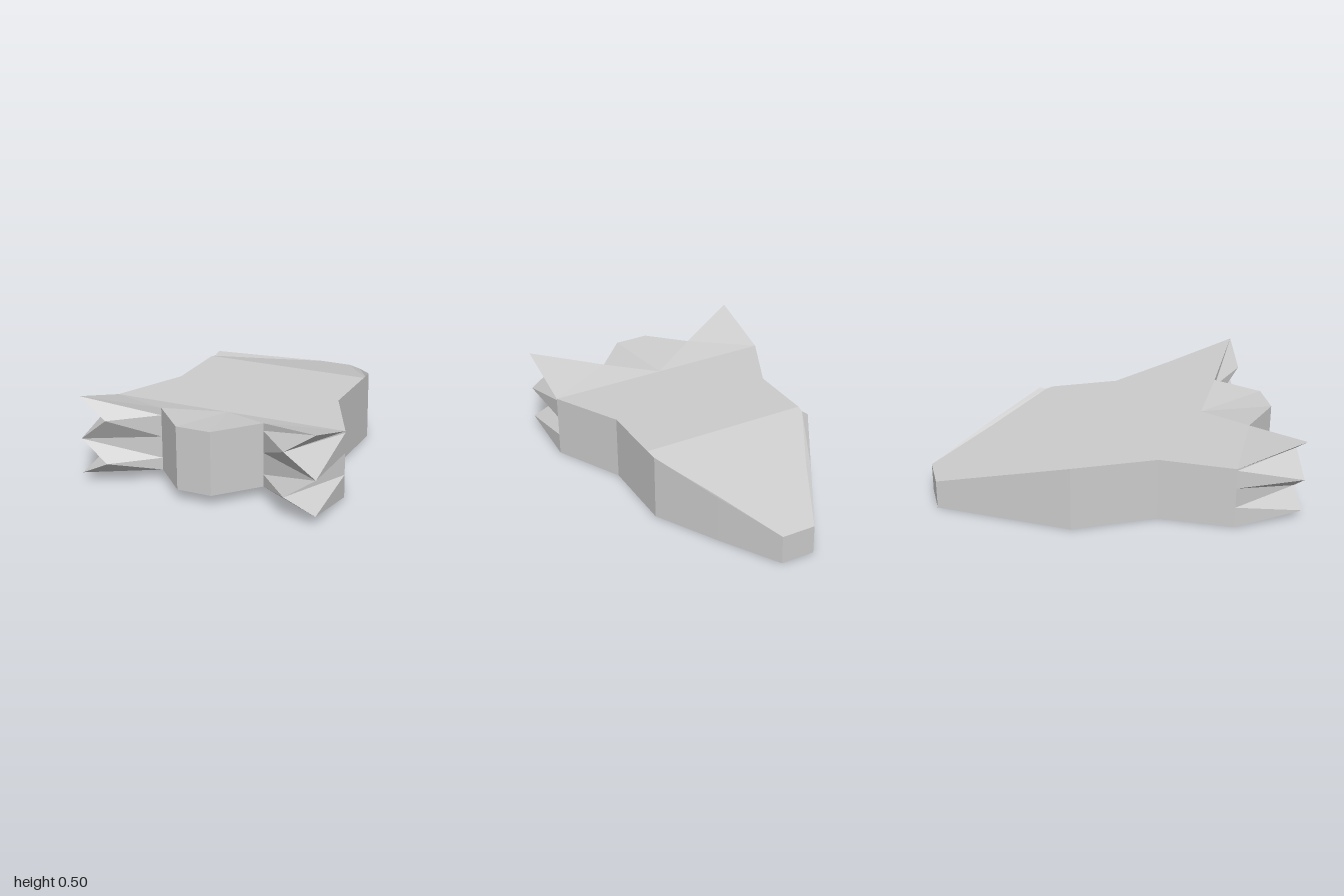
import * as THREE from 'three';

// Flat-faced mesh from polygons (fan-triangulated); side -1 mirrors x and flips the winding
function facets(name, polygons, side, material) {
  const pos = [];
  const put = (p) => pos.push(p[0] * side, p[1], p[2]);
  for (const p of polygons) {
    for (let i = 1; i < p.length - 1; i++) {
      put(p[0]);
      put(side > 0 ? p[i] : p[i + 1]);
      put(side > 0 ? p[i + 1] : p[i]);
    }
  }
  const geometry = new THREE.BufferGeometry();
  geometry.setAttribute('position', new THREE.Float32BufferAttribute(pos, 3));
  geometry.computeVertexNormals();
  const mesh = new THREE.Mesh(geometry, material);
  mesh.name = name;
  return mesh;
}

// One half of the craft; a, c, w, o are half-widths from nose to outer edge
function half(side, { a, c, w, o, valley, notchZ, cornerZ }, material) {
  const group = new THREE.Group();
  group.name = side > 0 ? 'leftHalf' : 'rightHalf';
  const add = (name, polygons) => group.add(facets(name, polygons, side, material));

  // Side wall outline from the narrow end to the fins: x, top height, z
  const rim = [[a, 0.175, -1], [c, 0.285, -0.65], [w, 0.396, cornerZ], [w, 0.387, 0.2], [o, 0.38, 0.6]];
  const floor = rim.map(([x, , z]) => [x, 0, z]);
  const walls = [[floor[0], [0, 0, -1], [0, 0.175, -1], rim[0]]];
  for (let i = 0; i < 4; i++) walls.push([floor[i + 1], floor[i], rim[i], rim[i + 1]]);
  add('sideWalls', walls);

  // Fin zigzag: five levels, alternating long tips and recessed valleys
  const outer = [0, 0.13, 0.255, 0.37, 0.38].map((y) => [o, y, 0.6]);
  const tips = [0.055, 0.13, 0.255, 0.38, 0.5].map((y, i) => [i % 2 ? valley : o, y, 1]);
  const notch = [0.06, 0.13, 0.255, 0.38, 0.423].map((y) => [c, y, notchZ]);
  const fins = [];
  for (let i = 0; i < 4; i++) {
    fins.push([tips[i], outer[i], outer[i + 1], tips[i + 1]]);
    fins.push([notch[i], tips[i], tips[i + 1], notch[i + 1]]);
  }
  fins.push([outer[4], notch[4], tips[4]], [outer[0], tips[0], notch[0]]);
  add('fins', fins);

  // Roof: sloping rear, raised lip along its edge, middle deck and front deck
  const lipA = [w, 0.383, -0.24], lipB = [c, 0.284, -0.6];
  const ridge = [w, 0.394, -0.2];
  add('rearRoof', [[[0, 0.394, -0.2], ridge, lipA, lipB, rim[0], [0, 0.175, -1]]]);
  add('roofLip', [[lipA, rim[2], rim[1], lipB], [lipB, rim[1], rim[0]]]);
  add('middleRoof', [[[0, 0.394, -0.2], [0, 0.38, 0.6], rim[4], rim[3], ridge]]);
  add('frontRoof', [[[0, 0.38, 0.6], [0, 0.42, 1], [a, 0.42, 1], notch[4], rim[4]]]);

  // Underside, tilting up at the front
  add('underside', [
    [[0, 0, 0.6], [0, 0, -1], ...floor],
    [[0, 0, 0.6], floor[4], notch[0], [a, 0.06, 1], [0, 0.06, 1]],
  ]);

  // Front centre block between the fins
  add('frontPanel', [
    [[0, 0.06, 1], [a, 0.06, 1], [a, 0.42, 1], [0, 0.42, 1]],
    [[a, 0.06, 1], notch[0], notch[4], [a, 0.42, 1]],
  ]);
  return group;
}

export function createModel() {
  const hullGrey = new THREE.MeshStandardMaterial({ color: 0xcccccc });
  hullGrey.name = 'hullGrey';
  const model = new THREE.Group();
  model.name = 'spacecraft';
  model.add(
    half(1, { a: 0.095, c: 0.295, w: 0.49, o: 0.69, valley: 0.51, notchZ: 0.775, cornerZ: -0.28 }, hullGrey),
    half(-1, { a: 0.105, c: 0.305, w: 0.505, o: 0.69, valley: 0.535, notchZ: 0.795, cornerZ: -0.3 }, hullGrey),
  );
  return model;
}
